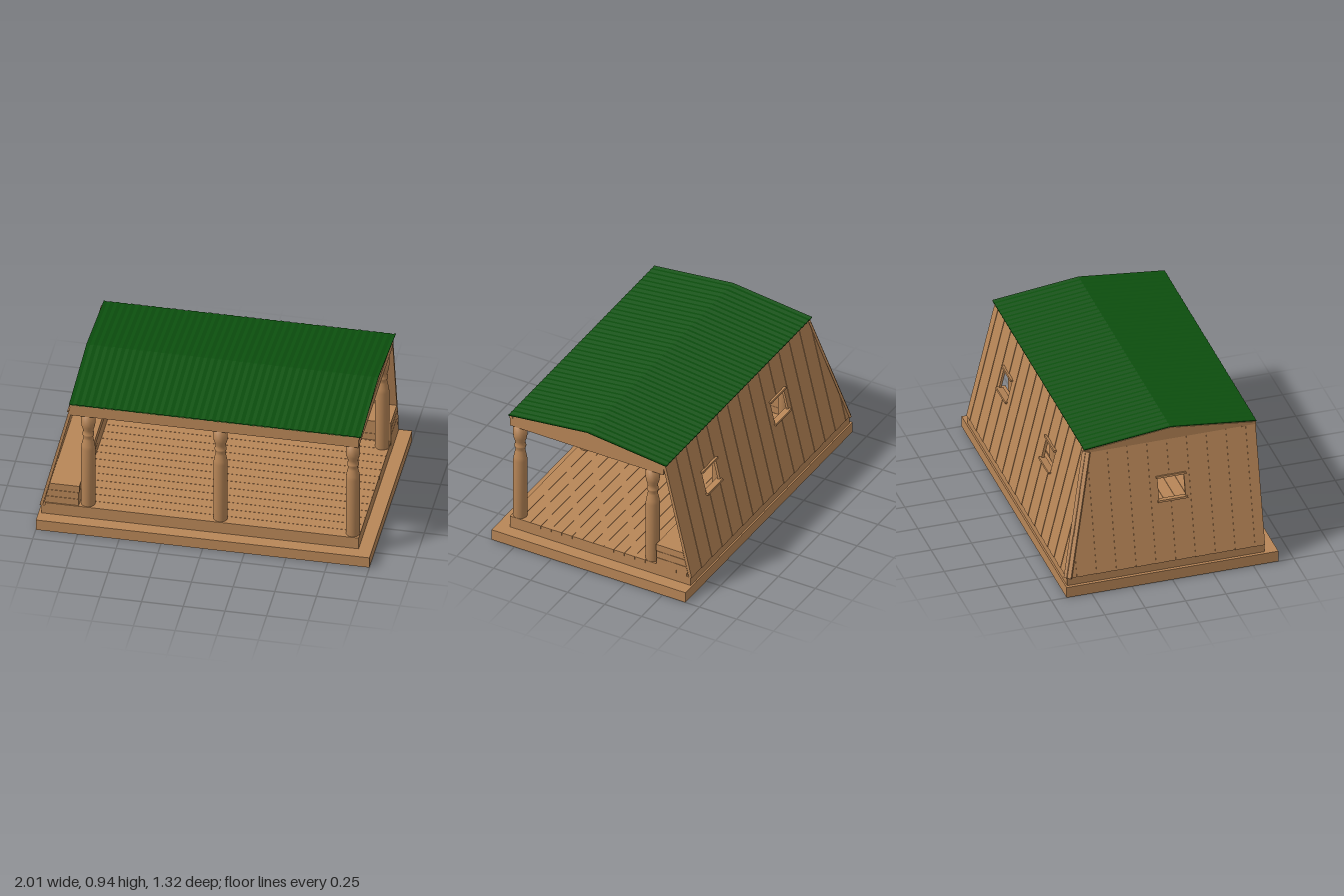
import * as THREE from 'three';

const wood = new THREE.MeshStandardMaterial({ color: 0xb88657 });
wood.name = 'wood';
const green = new THREE.MeshStandardMaterial({ color: 0x0c500e, flatShading: true });
green.name = 'roof green';

function add(parent, name, geometry, material = wood) {
  const mesh = new THREE.Mesh(geometry, material);
  mesh.name = name;
  parent.add(mesh);
  return mesh;
}

// Box given by its minimum and maximum corners
function block(parent, name, x0, x1, y0, y1, z0, z1) {
  const mesh = add(parent, name, new THREE.BoxGeometry(x1 - x0, y1 - y0, z1 - z0));
  mesh.position.set((x0 + x1) / 2, (y0 + y1) / 2, (z0 + z1) / 2);
  return mesh;
}

function extrude(points, depth) {
  const shape = new THREE.Shape(points.map(([x, y]) => new THREE.Vector2(x, y)));
  return new THREE.ExtrudeGeometry(shape, { depth, bevelEnabled: false });
}

// Extrudes a (-z, y) section along +x, starting at x0
function prismAlongX(parent, name, points, x0, x1) {
  const mesh = add(parent, name, extrude(points, x1 - x0));
  mesh.rotation.y = Math.PI / 2;
  mesh.position.x = x0;
  return mesh;
}

const WALL_Y0 = 0.125, WALL_Y1 = 0.862, RISE = WALL_Y1 - WALL_Y0;
const THICK = 0.018;

// Leaning plank wall; u runs along the wall, v up the slope, depth goes inward.
// One end (hipBottom to hipTop) is slanted to meet the neighbouring wall.
function plankWall(name, { origin, along, lean, square, hipBottom, hipTop, windows }) {
  const wall = new THREE.Group();
  wall.name = name;
  const length = Math.hypot(RISE, lean.length());
  const up = lean.clone().setY(RISE).normalize();
  const inward = new THREE.Vector3().crossVectors(along, up);
  wall.matrixAutoUpdate = true;
  wall.quaternion.setFromRotationMatrix(new THREE.Matrix4().makeBasis(along, up, inward));
  wall.position.copy(origin);

  const toV = y => (y - WALL_Y0) / RISE * length;
  const v0 = toV(0.495), v1 = toV(0.64);
  const topAt = u => length * Math.min(1, Math.max(0, (u - hipBottom) / (hipTop - hipBottom)));
  const lo = Math.min(square, hipBottom), hi = Math.max(square, hipBottom);
  const pitch = (hi - lo) / Math.round((hi - lo) / 0.061);
  const cuts = [hipTop, ...windows.flat()];
  for (let u = lo; u < hi + 0.001; u += pitch) cuts.push(u);
  cuts.sort((a, b) => a - b);

  for (let i = 0; i + 1 < cuts.length; i++) {
    const a = cuts[i], b = cuts[i + 1], mid = (a + b) / 2;
    if (b - a < 0.002) continue;
    const recess = Math.floor((mid - lo) / pitch) % 2 ? 0.003 : 0;
    const plank = pts => { add(wall, 'plank', extrude(pts, THICK - recess)).position.z = recess; };
    const ta = topAt(a), tb = topAt(b);
    const head = [];
    if (tb > 0.001) head.push([b, tb]);
    if (ta > 0.001) head.push([a, ta]);
    if (windows.some(([p, q]) => mid > p && mid < q)) {
      plank([[a, 0], [b, 0], [b, v0], [a, v0]]);
      plank([[a, v1], [b, v1], ...head]);
    } else plank([[a, 0], [b, 0], ...head]);
  }
  // Window head and sill boards
  for (const [p, q] of windows)
    for (const v of [v0, v1])
      block(wall, 'windowBoard', p - 0.01, q + 0.01, v - 0.006, v + 0.006, -0.014, THICK + 0.014);
  return wall;
}

export function createModel() {
  const model = new THREE.Group();
  model.name = 'woodenShelter';

  // Stepped base and floor boards
  block(model, 'baseSlab', -1, 1, 0, 0.07, -0.655, 0.655);
  block(model, 'upperSlab', -0.98, 0.92, 0.07, 0.127, -0.645, 0.577);
  const floor = new THREE.Group();
  floor.name = 'floor';
  model.add(floor);
  const boards = 17, boardWidth = (0.577 + 0.62) / boards;
  for (let i = 0; i < boards; i++) {
    const z = 0.577 - i * boardWidth;
    block(floor, 'floorBoard', -0.96, 0.92, 0.127, 0.147, z - boardWidth + 0.002, z);
  }

  // Leaning back and side walls
  model.add(plankWall('backWall', {
    origin: new THREE.Vector3(0, WALL_Y0, -0.652),
    along: new THREE.Vector3(1, 0, 0), lean: new THREE.Vector3(0, 0, 0.175),
    square: 0.92, hipBottom: -0.99, hipTop: -0.81,
    windows: [[-0.4, -0.235], [0.42, 0.58]],
  }));
  model.add(plankWall('sideWall', {
    origin: new THREE.Vector3(-0.993, WALL_Y0, 0),
    along: new THREE.Vector3(0, 0, -1), lean: new THREE.Vector3(0.183, 0, 0),
    square: -0.575, hipBottom: 0.65, hipTop: 0.477,
    windows: [[-0.115, 0.05]],
  }));

  // Corner board covering the joint of the two walls
  const foot = new THREE.Vector3(-0.985, WALL_Y0, -0.643);
  const head = new THREE.Vector3(-0.805, WALL_Y1, -0.47);
  const up = head.clone().sub(foot);
  const corner = add(model, 'cornerBoard', new THREE.BoxGeometry(0.048, up.length(), 0.014));
  corner.position.copy(foot).add(head).multiplyScalar(0.5);
  up.normalize();
  const across = new THREE.Vector3(1, 0, -1).normalize();
  across.addScaledVector(up, -across.dot(up)).normalize();
  corner.quaternion.setFromRotationMatrix(
    new THREE.Matrix4().makeBasis(across, up, new THREE.Vector3().crossVectors(across, up)));

  // Benches along both walls: three stacked boards with sloping backs
  for (let i = 0; i < 3; i++) {
    const y0 = 0.147 + i * 0.047, y1 = y0 + 0.045;
    const lip = i === 2 ? 0.004 : 0;
    const slope = y => (y - WALL_Y0) * 0.24;
    prismAlongX(model, 'backBench', [
      [0.415 - lip, y0], [0.632 - slope(y0), y0], [0.632 - slope(y1), y1], [0.415 - lip, y1],
    ].reverse(), -0.93, 0.92);
    const side = add(model, 'sideBench', extrude([
      [-0.972 + slope(y0), y0], [-0.76 + lip, y0], [-0.76 + lip, y1], [-0.972 + slope(y1), y1],
    ], 1.16));
    side.position.z = -0.59;
  }

  // Turned posts
  const profile = [
    [0, 0.145], [0.042, 0.145], [0.042, 0.55], [0.039, 0.575], [0.03, 0.615], [0.029, 0.63],
    [0.035, 0.645], [0.035, 0.655], [0.029, 0.665], [0.032, 0.685], [0.04, 0.71],
    [0.042, 0.73], [0.042, 0.802], [0, 0.802],
  ].map(([r, y]) => new THREE.Vector2(r, y));
  const postGeometry = new THREE.LatheGeometry(profile, 24);
  for (const x of [-0.71, 0.083, 0.877])
    for (const z of [0.53, -0.365]) add(model, 'post', postGeometry).position.set(x, 0, z);

  // Beams carrying the roof
  block(model, 'frontBeam', -0.81, 0.92, 0.8, 0.857, 0.49, 0.577);
  block(model, 'backBeam', -0.8, 0.92, 0.8, 0.857, -0.462, -0.325);
  block(model, 'leftEndBeam', 0.835, 0.92, 0.8, 0.857, -0.325, 0.49);
  block(model, 'rightEndBeam', -0.8, -0.67, 0.8, 0.857, -0.325, 0.49);
  block(model, 'eavesBoard', -0.81, 0.925, 0.857, 0.873, 0.555, 0.577);
  block(model, 'eavesBoard', -0.81, 0.925, 0.857, 0.873, -0.477, -0.455);

  // Ceiling boards
  for (let i = 0; i < 14; i++) {
    const z = -0.455 + i * 0.0721;
    block(model, 'ceilingBoard', -0.8, 0.915, 0.857, 0.865, z, z + 0.07);
  }

  // Gables at both ends
  const gable = [[-0.577, 0.857], [0.475, 0.857], [0.475, 0.873], [-0.0475, 0.934], [-0.577, 0.873]];
  prismAlongX(model, 'gable', gable, 0.9, 0.922);
  prismAlongX(model, 'gable', gable, -0.812, -0.79);

  // Corrugated roof sheet bent along the ridge
  const ribs = 41, width = 1.75, depth = 1.066;
  const sheet = new THREE.BoxGeometry(width, 0.005, depth, ribs * 4, 1, 2);
  const pos = sheet.attributes.position;
  for (let i = 0; i < pos.count; i++) {
    const wave = 0.0025 * Math.cos((pos.getX(i) / width + 0.5) * ribs * Math.PI * 2);
    const ridge = 0.06 * (1 - Math.abs(pos.getZ(i)) / (depth / 2));
    pos.setY(i, pos.getY(i) + wave + ridge);
  }
  const flat = sheet.toNonIndexed();
  flat.computeVertexNormals();
  add(model, 'roof', flat, green).position.set(0.06, 0.878, 0.0475);

  return model;
}
